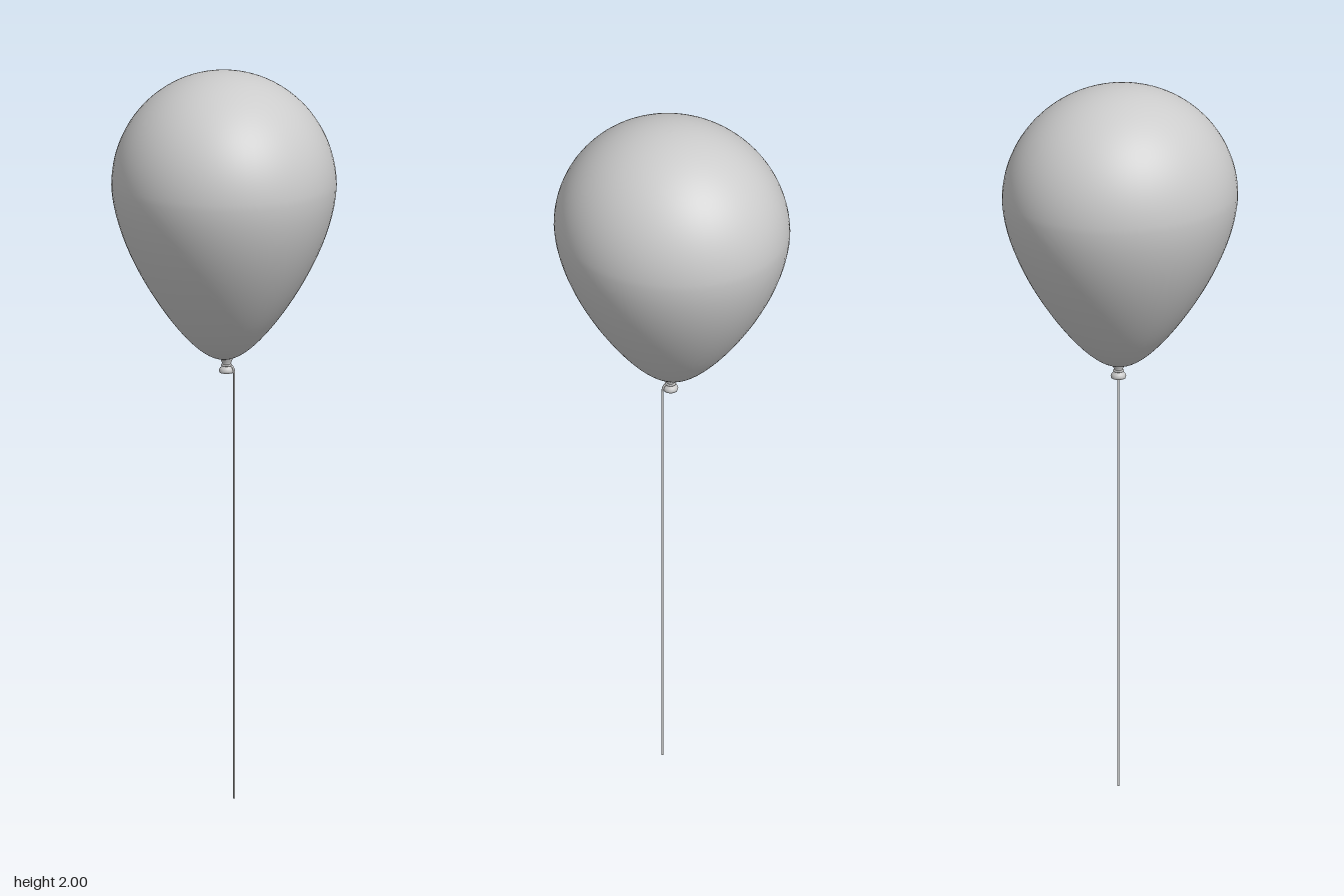
import * as THREE from 'three';

const material = new THREE.MeshStandardMaterial({ color: 0xcccccc, side: THREE.DoubleSide });

function addPart(group, name, geometry) {
  const mesh = new THREE.Mesh(geometry, material);
  mesh.name = name;
  group.add(mesh);
  return mesh;
}

export function createModel() {
  const group = new THREE.Group();
  group.name = 'balloonOnString';

  // Balloon skin: round crown above the widest ring, tapered egg below it
  const wideY = 1.69, crown = 0.31, taper = 0.48, radius = 0.303;
  const profile = [];
  const steps = 28;
  for (let i = 0; i <= steps; i++) {
    const a = (i / steps) * Math.PI / 2;
    const t = Math.cos(a);
    const r = radius * Math.sin(a) * (1 - 0.38 * Math.pow(t, 1.5));
    profile.push(new THREE.Vector2(r, wideY - taper * t));
  }
  for (let i = 1; i <= steps; i++) {
    const a = (i / steps) * Math.PI / 2;
    profile.push(new THREE.Vector2(radius * Math.cos(a), wideY + crown * Math.sin(a)));
  }
  const skin = new THREE.LatheGeometry(profile, 64);
  skin.scale(1, 1, 0.325 / radius); // slightly deeper than wide
  addPart(group, 'balloon', skin);

  // Pinched neck flaring into a rolled lip
  const neckPoints = [[0, 1.175], [0.012, 1.172], [0.019, 1.173], [0.021, 1.179], [0.018, 1.186],
    [0.012, 1.191], [0.011, 1.197], [0.014, 1.204], [0.018, 1.215]];
  const neck = new THREE.LatheGeometry(neckPoints.map(([x, y]) => new THREE.Vector2(x, y)), 24);
  addPart(group, 'neck', neck).position.x = 0.007;

  // String: looped around the neck, then hanging straight to the floor
  const loop = new THREE.TorusGeometry(0.012, 0.003, 8, 24);
  loop.rotateX(Math.PI / 2);
  addPart(group, 'stringLoop', loop).position.set(0.007, 1.194, 0);

  const path = new THREE.CurvePath();
  const tie = new THREE.Vector3(0.017, 1.194, 0.006);
  const bend = new THREE.Vector3(0.026, 1.17, 0.013);
  path.add(new THREE.QuadraticBezierCurve3(tie, new THREE.Vector3(0.026, 1.192, 0.013), bend));
  path.add(new THREE.LineCurve3(bend, new THREE.Vector3(0.026, 0, 0.013)));
  addPart(group, 'string', new THREE.TubeGeometry(path, 160, 0.003, 8, false));

  return group;
}
